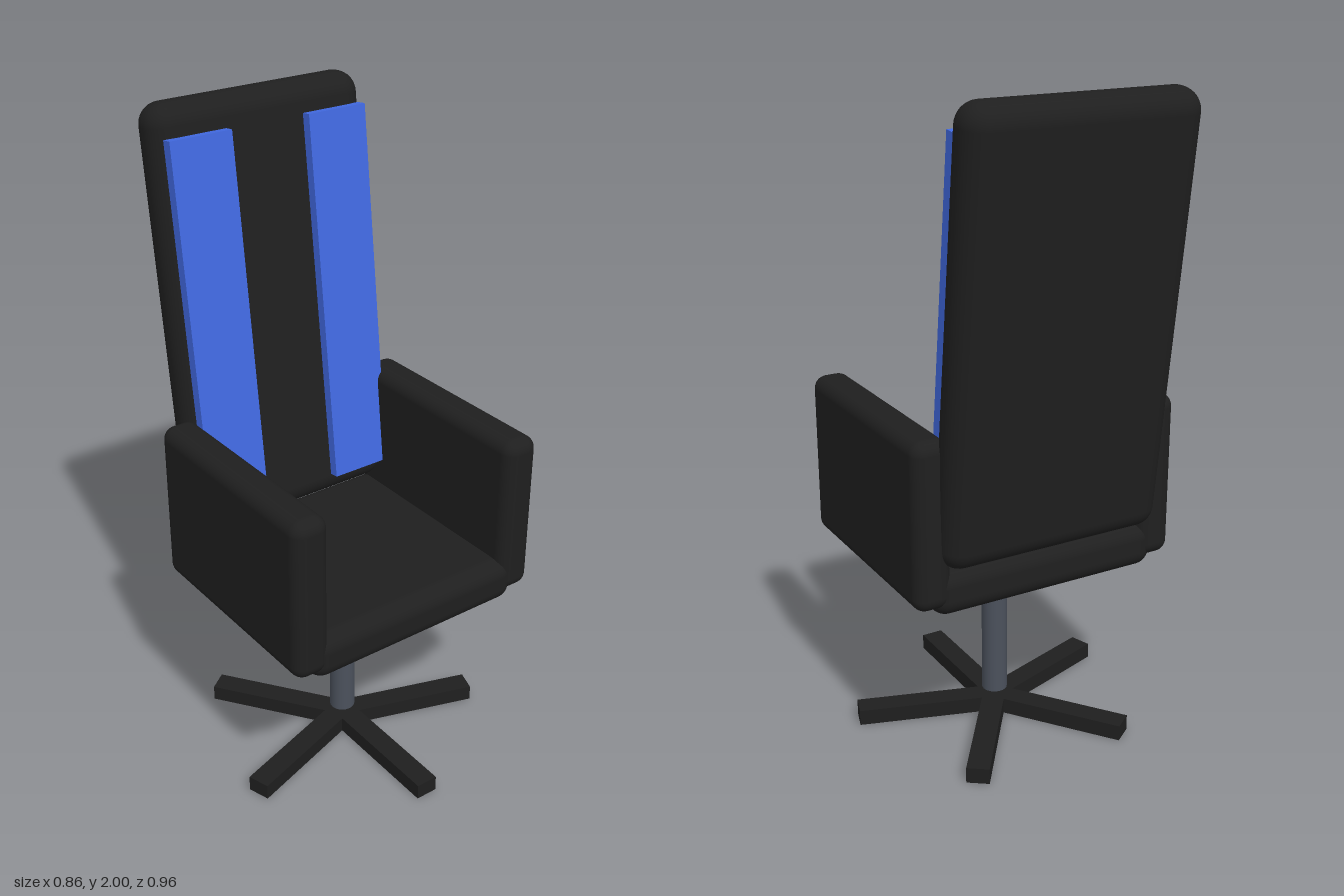
import * as THREE from 'three';
import { RoundedBoxGeometry } from 'three/addons/geometries/RoundedBoxGeometry.js';

function material(name, color) {
  const m = new THREE.MeshStandardMaterial({ color });
  m.name = name;
  return m;
}

function addPart(parent, name, geometry, mat, x, y, z) {
  const mesh = new THREE.Mesh(geometry, mat);
  mesh.name = name;
  mesh.position.set(x, y, z);
  parent.add(mesh);
  return mesh;
}

export function createModel() {
  const black = material('black upholstery', 0x1f1f1f);
  const blue = material('blue fabric', 0x4169e1);
  const steel = material('grey steel', 0x4b515c);

  const chair = new THREE.Group();
  chair.name = 'swivelChair';

  // Seat cushion and box armrests
  addPart(chair, 'seat', new RoundedBoxGeometry(0.74, 0.14, 0.71, 5, 0.05), black, 0, 0.62, 0.065);
  for (const [side, s] of [['left', 1], ['right', -1]]) {
    addPart(chair, side + 'Armrest', new RoundedBoxGeometry(0.115, 0.51, 0.71, 5, 0.04),
      black, s * 0.3725, 0.835, 0.065);
  }

  // Reclined backrest with two raised stripes
  const back = new THREE.Group();
  back.name = 'backrest';
  back.position.set(0, 1.35, -0.338);
  back.rotation.x = -0.119;
  chair.add(back);
  addPart(back, 'backCushion', new RoundedBoxGeometry(0.71, 1.308, 0.138, 5, 0.065), black, 0, 0, 0);
  for (const [side, s] of [['left', 1], ['right', -1]]) {
    addPart(back, side + 'Stripe', new THREE.BoxGeometry(0.2, 1.145, 0.034), blue, s * 0.23, -0.012, 0.083);
  }

  // Central post
  addPart(chair, 'post', new THREE.CylinderGeometry(0.04, 0.04, 0.49, 24), steel, 0, 0.315, 0.04);

  // Five-armed star base, one arm pointing forward
  const base = new THREE.Group();
  base.name = 'starBase';
  base.position.set(0, 0.025, 0.04);
  chair.add(base);
  const armGeometry = new THREE.BoxGeometry(0.07, 0.05, 0.44).translate(0, 0, 0.22);
  for (let i = 0; i < 5; i++) {
    addPart(base, 'baseArm' + (i + 1), armGeometry, black, 0, 0, 0).rotation.y = i * Math.PI * 2 / 5;
  }
  return chair;
}
